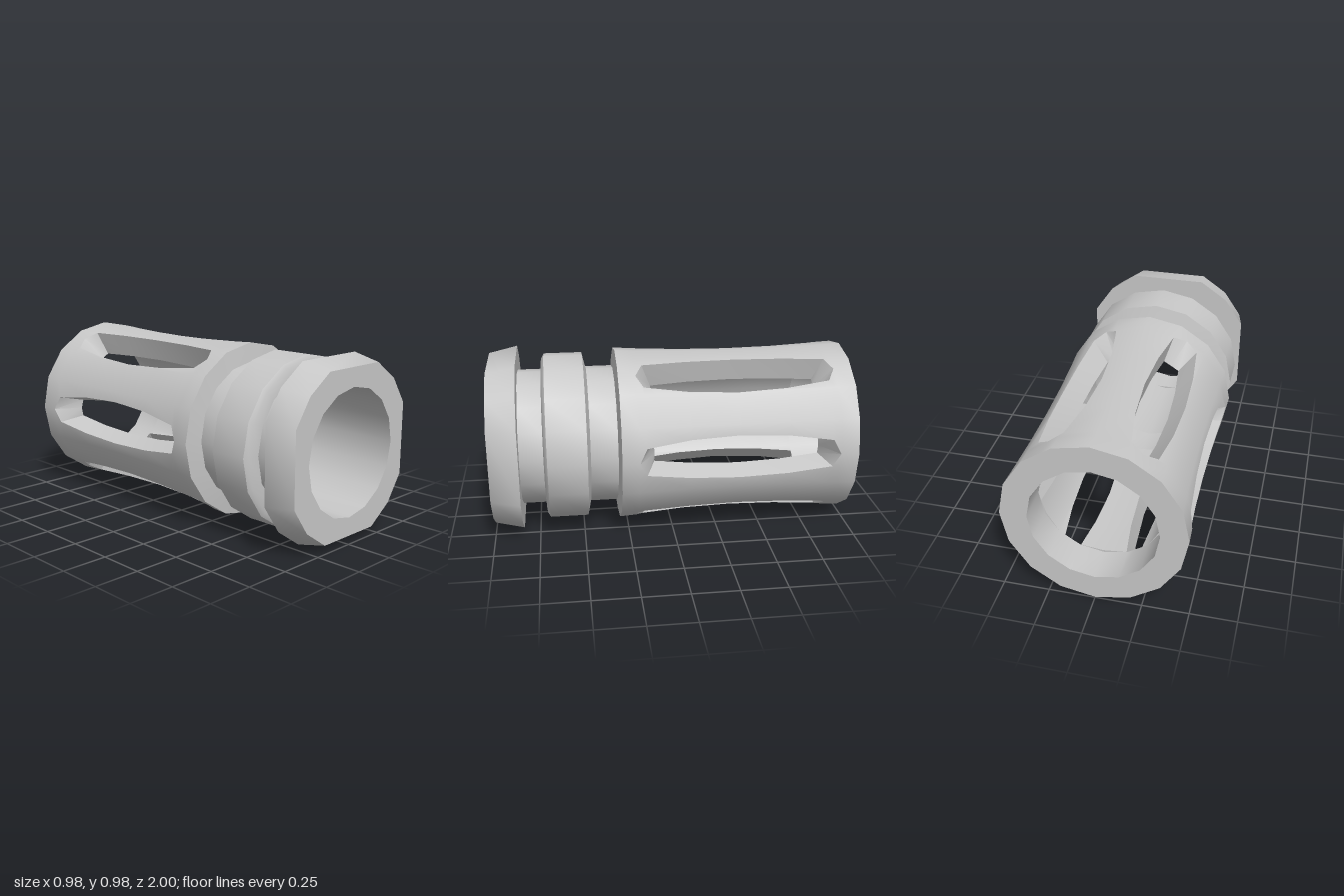
import * as THREE from 'three';
import { toCreasedNormals } from 'three/addons/utils/BufferGeometryUtils.js';

const RAD = Math.PI / 180;
const CENTRE_Y = 0.491;
const BORE = 0.341;
const SIDE = 22.5; // degrees per side of the sixteen-sided tube

const point = (deg, r, z) => new THREE.Vector3(r * Math.cos(deg * RAD), r * Math.sin(deg * RAD), z);
const ring = (angles, r, z) => angles.map((a) => point(a, r, z));
const sixteen = Array.from({ length: 16 }, (_, i) => i * SIDE);

// Radius of the sixteen-sided outline at any angle
function outlineRadius(deg, r) {
  const offset = (((deg % SIDE) + SIDE) % SIDE) - SIDE / 2;
  return (r * Math.cos((SIDE / 2) * RAD)) / Math.cos(offset * RAD);
}

// Skin closed sections; sections run counterclockwise and towards +z for outward faces
function loft(sections, skip = () => false, out = []) {
  const triangle = (a, b, c) => {
    const area = b.clone().sub(a).cross(c.clone().sub(a)).length();
    if (area > 1e-7) for (const p of [a, b, c]) out.push(p.x, p.y, p.z);
  };
  for (let i = 0; i < sections.length - 1; i++) {
    const A = sections[i], B = sections[i + 1];
    for (let j = 0; j < A.length; j++) {
      if (skip(i, j)) continue;
      const k = (j + 1) % A.length;
      triangle(A[j], A[k], B[k]);
      triangle(A[j], B[k], B[j]);
    }
  }
  return out;
}

function toGeometry(positions) {
  const g = new THREE.BufferGeometry();
  g.setAttribute('position', new THREE.Float32BufferAttribute(positions, 3));
  return toCreasedNormals(g, 0.65);
}

// Flat polygonal ring facing +z, or -z when flipped
function annulus(outer, inner, z, flip = false) {
  const shape = new THREE.Shape(outer.map((p) => new THREE.Vector2(p.x, p.y)));
  shape.holes.push(new THREE.Path(inner.map((p) => new THREE.Vector2(p.x, p.y))));
  const g = new THREE.ShapeGeometry(shape);
  if (flip) g.rotateY(Math.PI);
  return g.translate(0, 0, z);
}

// Waisted outer radius of the slotted body
function bodyRadius(z) {
  const t = (z + 0.35) / 0.65;
  return 0.469 + (t > 0 ? 0.021 : 0.017) * t * t;
}

// Six bars between flared slots, joined by solid rims at both ends
function slottedBody() {
  // outer z, outer slot half angle, inner z, inner slot half angle
  const stations = [
    [-1, 0, -1, 0],
    [-0.9, 0, -0.81, 0],
    [-0.86, 9.5, -0.81, 8.5],
    [-0.62, 13.8, -0.6, 13],
    [-0.35, 15.5, -0.35, 15],
    [-0.08, 13.8, -0.1, 13],
    [0.16, 9.5, 0.11, 8.5],
    [0.2, 0, 0.11, 0],
    [0.295, 0, 0.295, 0],
  ];
  const last = stations.length - 2;
  const positions = [];
  for (let base = 0; base < 360; base += 60) {
    const corners = sixteen.map((a) => a - base).filter((a) => a > 0 && a < 60);
    const columns = (half) => [0, ...corners, 60].map((a) => THREE.MathUtils.clamp(a, half, 60 - half));
    const sections = stations.map(([zo, a, zi, b]) => {
      const outer = columns(a).map((c) => point(base + c, outlineRadius(base + c, bodyRadius(zo)), zo));
      const inner = columns(b).reverse().map((c) => {
        const r = outlineRadius(base + c, BORE);
        // bars are flat on the inside
        const flat = (BORE * Math.cos(15 * RAD)) / Math.cos((c - 30) * RAD);
        return point(base + c, b > 0 ? Math.min(r, flat) : r, zi);
      });
      return [...outer, ...inner];
    });
    // no side walls inside the solid rims
    const n = corners.length + 2;
    loft(sections, (i, j) => (i === 0 || i === last) && (j + 1) % n === 0, positions);
  }
  return toGeometry(positions);
}

export function createModel() {
  const steel = new THREE.MeshStandardMaterial({ color: 0xc8c8c8 });
  steel.name = 'grey steel';
  const model = new THREE.Group();
  model.name = 'slottedMuzzleTube';
  const add = (name, geometry) => {
    const mesh = new THREE.Mesh(geometry, steel);
    mesh.name = name;
    mesh.position.y = CENTRE_Y;
    model.add(mesh);
  };
  const turned = (angles, profile) => toGeometry(loft(profile.map(([r, z]) => ring(angles, r, z))));
  const boreRing = ring(sixteen, BORE, 0);

  // Slotted rear body with its end face and front shoulder
  add('slottedBody', slottedBody());
  add('rearFace', annulus(ring(sixteen, bodyRadius(-1), 0), boreRing, -1, true));
  add('bodyShoulder', turned(sixteen, [[bodyRadius(0.295), 0.295], [0.388, 0.308]]));

  // Necks and raised collar
  add('neckAndCollar', turned(sixteen, [
    [0.388, 0.308], [0.388, 0.457], [0.47, 0.476], [0.47, 0.69],
    [0.445, 0.705], [0.382, 0.71], [0.382, 0.845],
  ]));

  // Tapered front nut: a round with four wide wrench flats
  const nutAngles = [0, 90, 180, 270].flatMap((q) => [24, 45, 66].map((a) => q + a));
  add('frontNut', turned(nutAngles, [[0.36, 0.84], [0.521, 0.84], [0.484, 1]]));
  add('frontFace', annulus(ring(nutAngles, 0.484, 0), boreRing, 1));

  // Smooth front bore
  add('frontBore', turned(sixteen, [[BORE, 1], [BORE, 0.295]]));

  return model;
}
